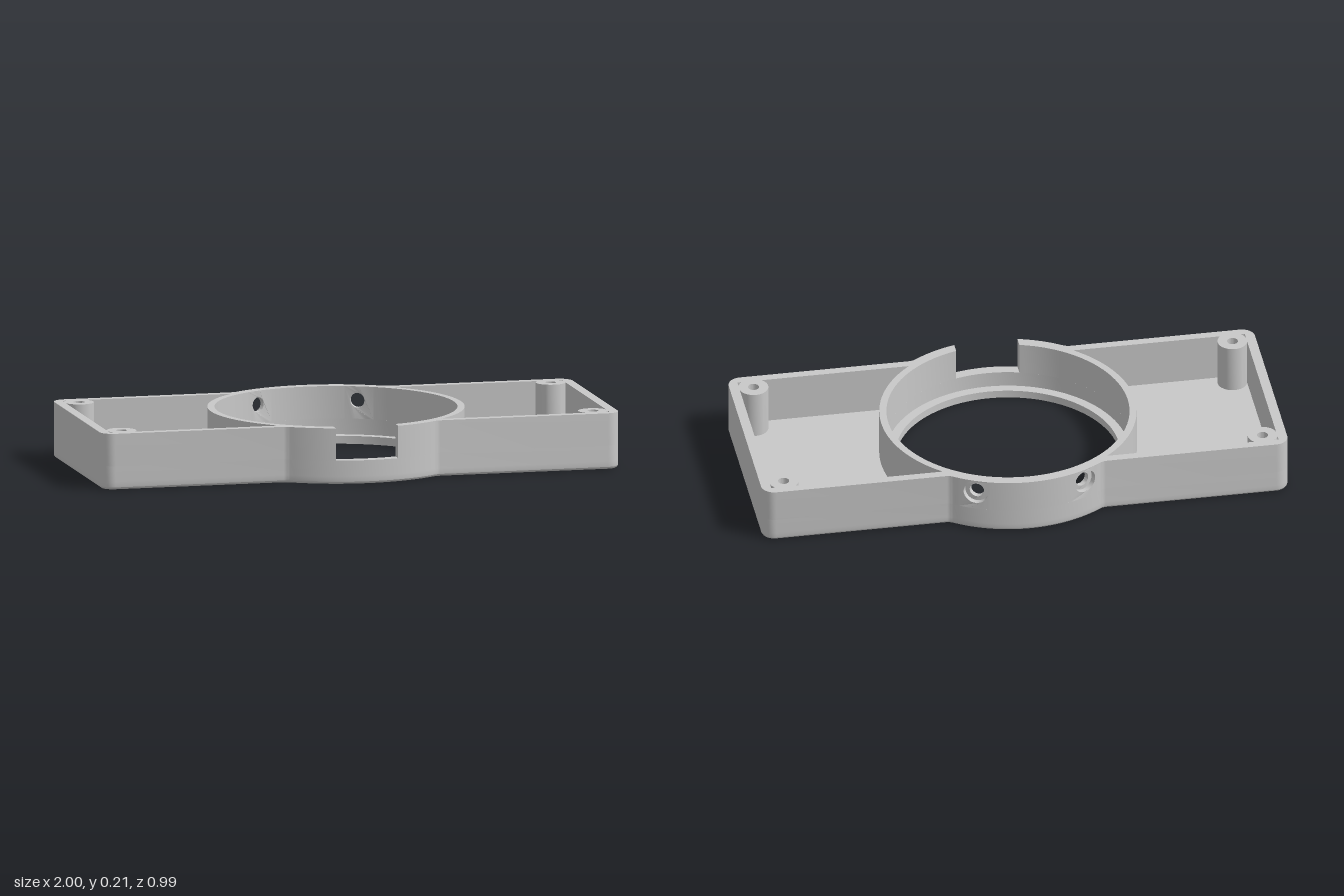
import * as THREE from 'three';
import { toCreasedNormals } from 'three/addons/utils/BufferGeometryUtils.js';

const H = 0.213, FLOOR = 0.03, STEP = 0.09;      // overall, floor and notch heights
const R = 0.495, BORE = 0.455, OPENING = 0.42;   // ring radii
const HX = 1, HZ = 0.4, CORNER = 0.05, ROUND = 0.015;
const BLEND = 0.05;                              // fillet between ring and straight side
const MEET = Math.asin((HZ + BLEND) / (R + BLEND));
const rad = THREE.MathUtils.degToRad;
const V = (x, y) => new THREE.Vector2(x, y);

// Points along an arc, angles in radians
function arc(r, a0, a1, n, cx = 0, cy = 0) {
  return Array.from({ length: n + 1 }, (_, i) => {
    const a = a0 + (a1 - a0) * i / n;
    return V(cx + r * Math.cos(a), cy + r * Math.sin(a));
  });
}

const circle = (r, n, cx = 0, cy = 0) => arc(r, 0, Math.PI * 2, n, cx, cy).slice(0, n);

// Right-hand rounded end of the body, from lower to upper corner, inset by d
function endCorners(d) {
  const cx = HX - CORNER, cy = HZ - CORNER, q = Math.PI / 2;
  return [...arc(CORNER - d, -q, 0, 8, cx, -cy), ...arc(CORNER - d, 0, q, 8, cx, cy)];
}

// Concave fillet from the straight side to the ring, upper right, inset by d
function fillet(d) {
  const cx = (R + BLEND) * Math.cos(MEET);
  return arc(BLEND + d, -Math.PI / 2, MEET - Math.PI, 5, cx, HZ + BLEND);
}

// Complete plan outline, inset by d, counter-clockwise
function outline(d = 0) {
  const half = [
    ...endCorners(d),
    ...fillet(d),
    ...arc(R - d, MEET, Math.PI - MEET, 32).slice(1, -1),
    ...fillet(d).reverse().map(p => V(-p.x, p.y)),
  ];
  return [...half, ...half.map(p => V(-p.x, -p.y))];
}

// Tray pocket, s = 1 or -1 for the side
function pocket(s) {
  const r = 0.482, x = 0.964, y = 0.367, a = Math.asin(y / r);
  return [V(x, -y), V(x, y), ...arc(r, a, -a, 32)].map(p => V(p.x * s, p.y));
}

// Extrusion with the outline wound counter-clockwise and the holes clockwise
function extrude(points, holes, depth) {
  const wind = (pts, clockwise) =>
    THREE.ShapeUtils.isClockWise(pts) === clockwise ? pts : [...pts].reverse();
  const shape = new THREE.Shape(wind(points, false));
  shape.holes = holes.map(h => new THREE.Path(wind(h, true)));
  return new THREE.ExtrudeGeometry(shape, { depth, bevelEnabled: false });
}

// Extrude a plan upward from y0 to y1
function slab(points, holes, y0, y1) {
  const g = extrude(points, holes, y1 - y0);
  g.rotateX(-Math.PI / 2).translate(0, y0, 0);
  return toCreasedNormals(g, 0.5);
}

// Rounded lower edge lofted between inset outlines
function edgeLoft() {
  const loops = [];
  for (let i = 0; i <= 4; i++) {
    const a = i / 4 * Math.PI / 2;
    loops.push([ROUND * (1 - Math.sin(a)), ROUND * (1 - Math.cos(a))]);
  }
  loops.push([0, FLOOR]);
  const pos = [], index = [];
  let n = 0;
  for (const [d, y] of loops) {
    const pts = outline(d);
    n = pts.length;
    pts.forEach(p => pos.push(p.x, y, -p.y));
  }
  for (let k = 0; k < loops.length - 1; k++) {
    for (let i = 0; i < n; i++) {
      const a = k * n + i, b = k * n + (i + 1) % n;
      index.push(a, b, b + n, a, b + n, a + n);
    }
  }
  const g = new THREE.BufferGeometry();
  g.setAttribute('position', new THREE.Float32BufferAttribute(pos, 3));
  g.setIndex(index);
  return toCreasedNormals(g, 0.3);
}

// Curved wall panel with a round hole, bent around the ring axis
function holePanel(centre, halfAngle, r0, r1, hole) {
  const mid = 0.475, w = halfAngle * mid, n = 8, pts = [];
  for (let i = 0; i <= n; i++) pts.push(V(-w + 2 * w * i / n, STEP));
  for (let i = n; i >= 0; i--) pts.push(V(-w + 2 * w * i / n, H));
  const g = extrude(pts, [circle(hole, 28, 0.007, 0.16)], r1 - r0);
  const p = g.attributes.position;
  for (let i = 0; i < p.count; i++) {
    const a = centre + p.getX(i) / mid, r = r0 + p.getZ(i);
    p.setXYZ(i, -r * Math.sin(a), p.getY(i), -r * Math.cos(a));
  }
  return toCreasedNormals(g, 0.5);
}

export function createModel() {
  const group = new THREE.Group();
  group.name = 'ringHousing';
  const grey = new THREE.MeshStandardMaterial({ color: 0xc8c8c8 });
  grey.name = 'grey plastic';
  const add = (name, geometry) => {
    const mesh = new THREE.Mesh(geometry, grey);
    mesh.name = name;
    group.add(mesh);
  };

  // Floor with central opening and rounded lower edge
  add('floor', slab(outline(ROUND), [circle(OPENING, 96)], 0, FLOOR));
  add('roundedLowerEdge', edgeLoft());

  // Continuous lower wall, up to the notch sill
  add('lowerWall', slab(outline(), [circle(BORE, 96), pocket(1), pocket(-1)], FLOOR, STEP));

  // Upper walls run from the front notch to the screw hole panels
  const notch = 0.12, screw = rad(25), half = rad(7);
  const panelEnd = Math.PI / 2 - screw - half;
  for (const s of [1, -1]) {
    const side = s > 0 ? 'left' : 'right';
    const wall = [
      ...arc(R, -Math.acos(notch / R), -MEET, 12).slice(0, -1),
      ...fillet(0).reverse().map(p => V(p.x, -p.y)),
      ...endCorners(0),
      ...fillet(0),
      ...arc(R, MEET, panelEnd, 2).slice(1),
      ...arc(BORE, panelEnd, -Math.acos(notch / BORE), 40),
    ].map(p => V(p.x * s, p.y));
    add(side + 'UpperWall', slab(wall, [pocket(s)], STEP, H));

    // Counterbored screw hole
    add(side + 'ScrewHoleInner', holePanel(-s * screw, half, BORE, 0.475, 0.028));
    add(side + 'ScrewHoleOuter', holePanel(-s * screw, half, 0.475, R, 0.045));

    // Corner screw posts
    for (const z of [1, -1]) {
      const x = 0.91 * s, y = -0.327 * z;
      add(side + (z > 0 ? 'Front' : 'Back') + 'Post',
        slab(circle(0.056, 32, x, y), [circle(0.021, 20, x, y)], FLOOR, H));
    }
  }

  // Wall between the two screw holes
  const b0 = Math.PI / 2 - screw + half, b1 = Math.PI - b0;
  add('backUpperWall', slab([...arc(R, b0, b1, 14), ...arc(BORE, b1, b0, 14)], [], STEP, H));

  return group;
}
